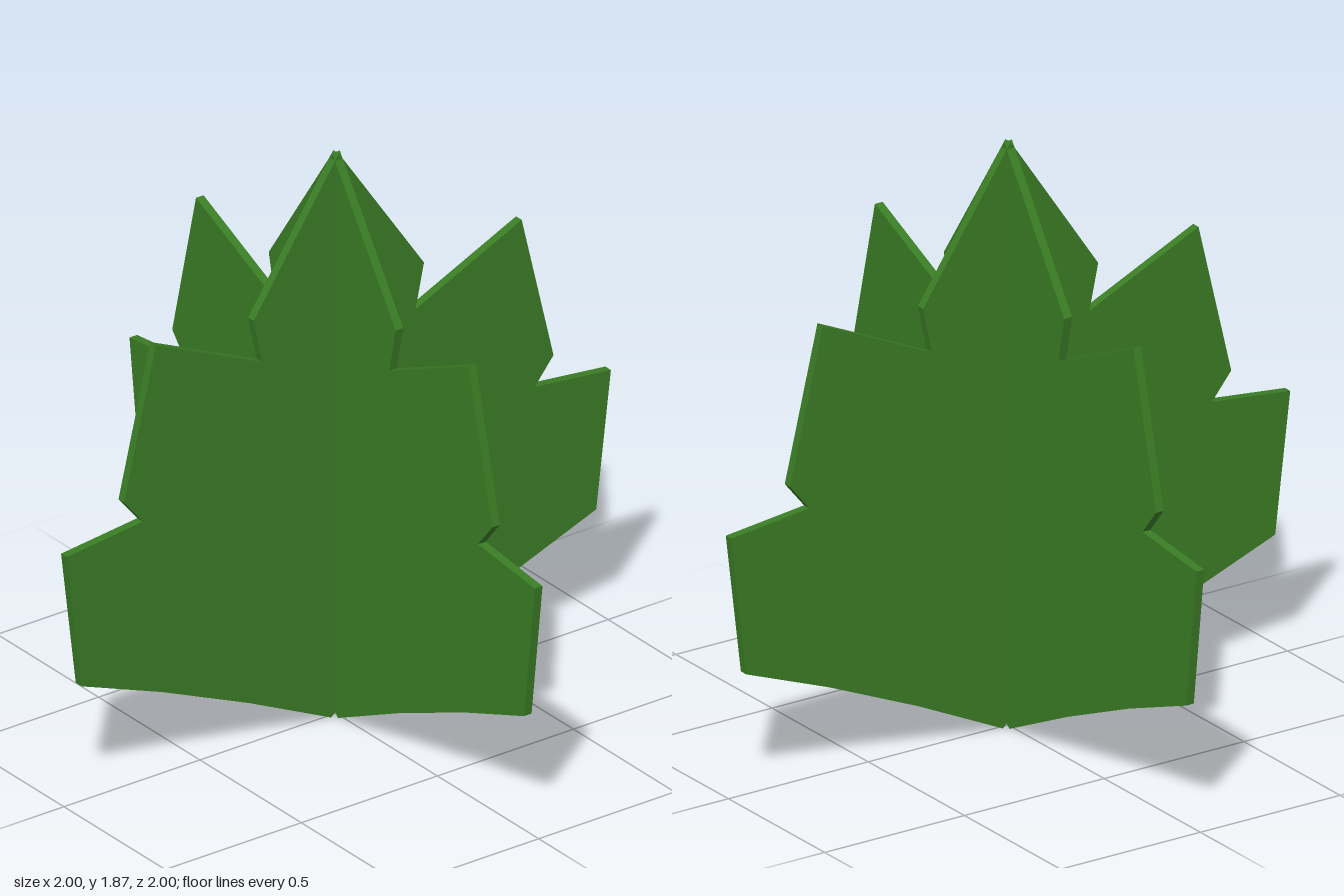
import * as THREE from 'three';

// Half of the leaf outline, from the tip down to the stem notch
const HALF = [
  [0.313, 1.406], [0.282, 1.26], [0.672, 1.436], [0.789, 0.95], [0.72, 0.866],
  [1, 0.835], [0.946, 0.389], [0.65, 0.278], [0.33, 0.142], [0.028, 0],
];
const THICKNESS = 0.028;

export function createModel() {
  const group = new THREE.Group();
  group.name = 'crossedLeaf';

  const leafGreen = new THREE.MeshStandardMaterial({ color: 0x3a7d25 });
  leafGreen.name = 'leaf green';

  // Mirrored outline with a pointed tip and a small notch at the base
  const points = [
    [0, 1.865],
    ...HALF,
    [0, 0.026],
    ...HALF.map(([x, y]) => [-x, y]).reverse(),
  ].map(([x, y]) => new THREE.Vector2(x, y));

  const blade = new THREE.ExtrudeGeometry(new THREE.Shape(points), {
    depth: THICKNESS,
    bevelEnabled: false,
  });
  blade.translate(0, 0, -THICKNESS / 2);

  // Two identical blades crossing at right angles
  ['frontBlade', 'sideBlade'].forEach((name, i) => {
    const mesh = new THREE.Mesh(blade, leafGreen);
    mesh.name = name;
    mesh.rotation.y = (i * Math.PI) / 2;
    group.add(mesh);
  });

  return group;
}
